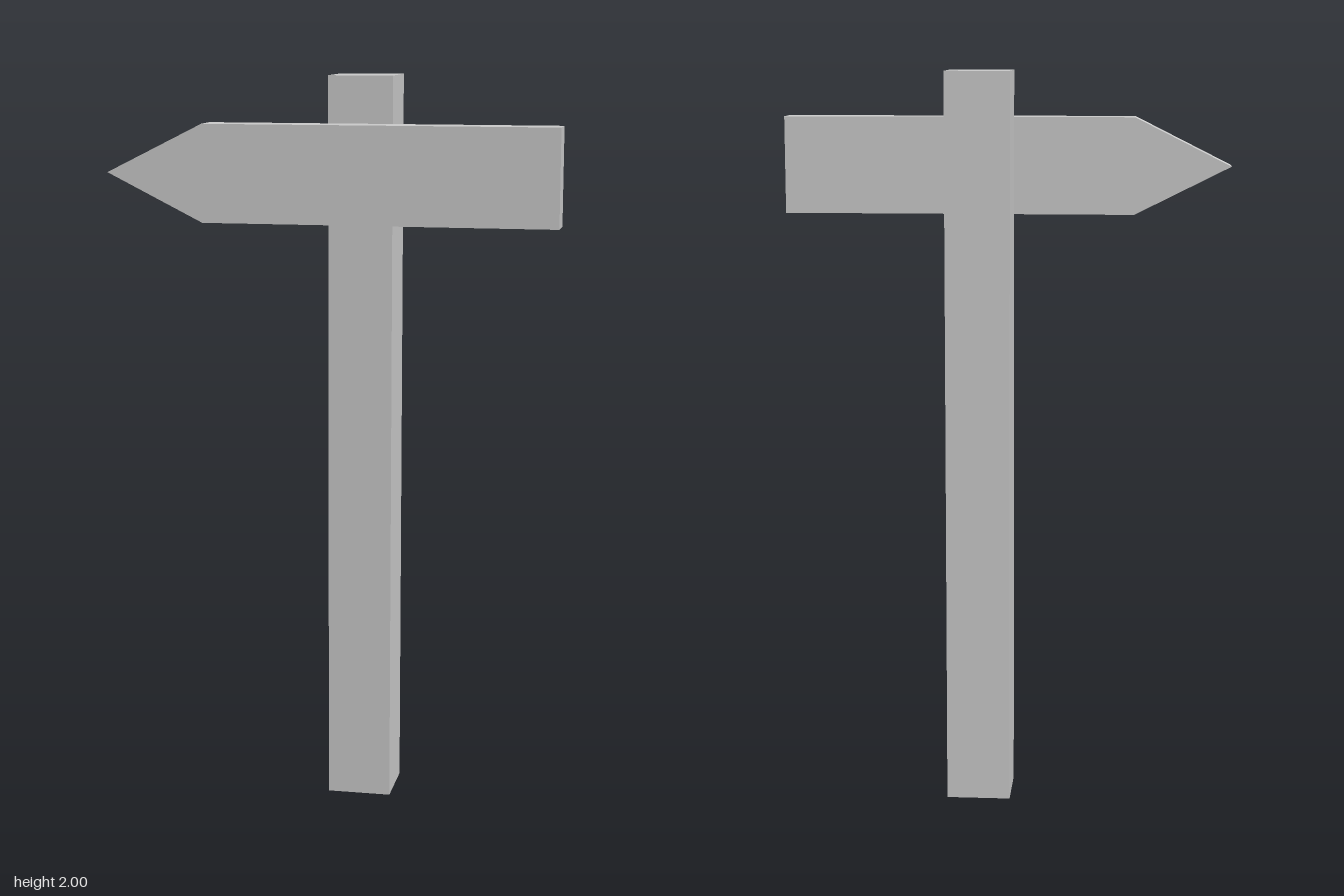
import * as THREE from 'three';

const POST = 0.174;                 // square post side
const BOARD = 0.087;                // board thickness
const FRONT = (POST + BOARD) / 2;   // half of the total depth

export function createModel() {
  const group = new THREE.Group();
  group.name = 'signpost';
  const material = new THREE.MeshStandardMaterial({ color: 0xcccccc, flatShading: true });

  // Upright square post
  const post = new THREE.Mesh(new THREE.BoxGeometry(POST, 2, POST), material);
  post.name = 'post';
  post.position.set(0.067, 1, -FRONT + POST / 2);
  group.add(post);

  // Arrow board, pointing to the model's right, fixed to the post's front face
  const outline = new THREE.Shape([
    [-0.607, 0], [-0.346, -0.131], [0.607, -0.131], [0.607, 0.131], [-0.346, 0.131],
  ].map(([x, y]) => new THREE.Vector2(x, y)));
  const board = new THREE.Mesh(
    new THREE.ExtrudeGeometry(outline, { depth: BOARD, bevelEnabled: false }), material);
  board.name = 'arrowBoard';
  board.position.set(0, 1.743, FRONT - BOARD);
  group.add(board);

  return group;
}
